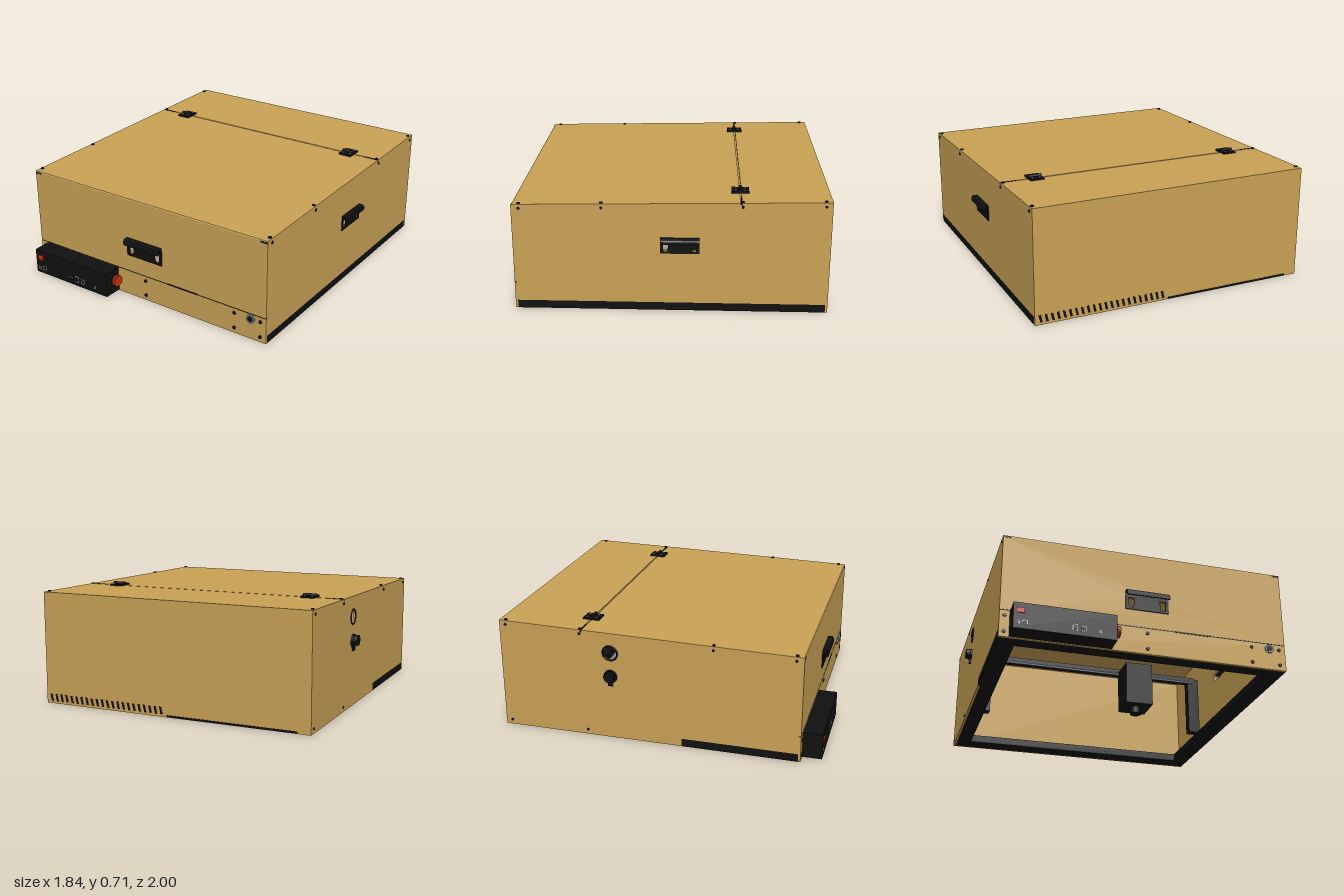
import * as THREE from 'three';

const mat = (name, color, extra = {}) => {
  const m = new THREE.MeshStandardMaterial({ color, ...extra });
  m.name = name;
  return m;
};

export function createModel() {
  const tan = mat('tanPanel', 0xc8a155);
  const black = mat('black', 0x101010);
  const red = mat('orangeRed', 0xd2360e);
  const darkRed = mat('darkRed', 0x8f2a12);
  const grey = mat('steelGrey', 0x8796a2);
  const pale = mat('paleGrey', 0xc4c4c4);

  const model = new THREE.Group();
  model.name = 'machineEnclosure';
  const T = 0.014, W = 0.88, ZF = 0.875, ZB = -1;
  const roof = z => 0.665 + (ZF - z) * 0.0187;

  const add = (name, geo, m, x = 0, y = 0, z = 0, parent = model) => {
    const mesh = new THREE.Mesh(geo, m);
    mesh.name = name;
    mesh.position.set(x, y, z);
    parent.add(mesh);
    return mesh;
  };
  // box given by its minimum and maximum corners
  const block = (name, m, a, b, parent = model) => add(name,
    new THREE.BoxGeometry(b[0] - a[0], b[1] - a[1], b[2] - a[2]), m,
    (a[0] + b[0]) / 2, (a[1] + b[1]) / 2, (a[2] + b[2]) / 2, parent);
  const disc = (name, m, r, depth, axis, x, y, z, parent = model) => {
    const g = new THREE.CylinderGeometry(r, r, depth, 20);
    if (axis === 'x') g.rotateZ(Math.PI / 2);
    if (axis === 'z') g.rotateX(Math.PI / 2);
    return add(name, g, m, x, y, z, parent);
  };
  const poly = pts => new THREE.Shape(pts.map(p => new THREE.Vector2(...p)));
  const hole = (shape, pts) => shape.holes.push(new THREE.Path(pts.map(p => new THREE.Vector2(...p))));
  const rect = (x0, y0, x1, y1) => [[x0, y0], [x1, y0], [x1, y1], [x0, y1]];
  const extrude = (shape, depth) => new THREE.ExtrudeGeometry(shape, { depth, bevelEnabled: false, curveSegments: 20 });
  // outline in (z, y), extruded towards -x
  const extrudeSide = (shape, depth) => extrude(shape, depth).rotateY(-Math.PI / 2);

  // Side walls
  const z0 = ZB + T, z1 = ZF - T;
  const leftWall = poly([[z0, 0.05], [z1, 0.05], [z1, roof(z1) - T], [z0, roof(z0) - T]]);
  hole(leftWall, rect(-0.215, 0.387, -0.015, 0.442));
  add('leftWall', extrudeSide(leftWall, T), tan, W);
  const rightWall = poly([[z0, 0], [0.15, 0], [0.15, 0.05], [z1, 0.05], [z1, roof(z1) - T], [z0, roof(z0) - T]]);
  rightWall.holes.push(new THREE.Path().absarc(-0.29, 0.56, 0.045, 0, Math.PI * 2));
  add('rightWall', extrudeSide(rightWall, T), tan, -W + T);

  // Back wall and the two front panels
  block('backWall', tan, [-W, 0, ZB], [W, roof(ZB) - T, ZB + T]);
  block('lowerFrontPanel', tan, [-W, 0, z1], [W, 0.165, ZF]);
  const front = poly(rect(-W, 0.171, W, roof(ZF) - T));
  hole(front, rect(-0.118, 0.293, 0.118, 0.357));
  add('upperFrontPanel', extrude(front, T), tan, 0, 0, z1);
  block('frontSeam', black, [-W + 0.005, 0.163, z1 + 0.002], [W - 0.005, 0.173, ZF - 0.002]);
  block('frontSlot', black, [0.17, 0.164, ZF - 0.004], [0.39, 0.173, ZF + 0.002]);

  // Sloped roof: fixed rear panel and lid with a rounded front edge
  const rear = poly([[ZB, roof(ZB) - T], [-0.476, roof(-0.476) - T], [-0.476, roof(-0.476)], [ZB, roof(ZB)]]);
  add('rearRoofPanel', extrudeSide(rear, W * 2), tan, W);
  const yl = roof(ZF);
  const lid = poly([[-0.467, roof(-0.467) - T], [ZF, yl - T], [ZF, yl - 0.008], [ZF - 0.004, yl - 0.002],
    [ZF - 0.012, yl], [-0.467, roof(-0.467)]]);
  add('lid', extrudeSide(lid, W * 2), tan, W);
  for (const s of [-1, 1]) {
    block('seamEnd', black, [s * 0.825 - 0.045, 0.66, -0.477], [s * 0.825 + 0.045, roof(-0.47) + 0.002, -0.466]);
    block('frontCornerSlot', black, [s * 0.855 - 0.022, 0.648, ZF - 0.004], [s * 0.855 + 0.022, 0.657, ZF + 0.002]);
  }

  // Hinges with knuckle and four screws
  for (const s of [-1, 1]) {
    const hinge = new THREE.Group();
    hinge.name = 'hinge';
    hinge.position.set(s * 0.664, roof(-0.47), -0.47);
    block('hingeLeaf', black, [-0.043, -0.002, -0.052], [0.043, 0.011, 0.052], hinge);
    disc('hingePin', black, 0.011, 0.084, 'x', 0, 0.013, 0, hinge);
    for (const x of [-0.024, 0.024]) for (const z of [-0.028, 0.028])
      disc('hingeScrew', grey, 0.007, 0.004, 'y', x, 0.012, z, hinge);
    model.add(hinge);
  }

  // Screws along the roof edges and wall sides
  for (const s of [-1, 1]) for (const z of [-0.96, -0.48, 0.345, 0.83]) {
    disc('roofScrew', black, 0.01, 0.008, 'y', s * 0.865, roof(z) + 0.002, z);
    disc('sideScrew', black, 0.008, 0.008, 'x', s * (W + 0.001), roof(z) - 0.025, z);
  }
  for (const x of [-0.85, 0, 0.66, 0.84]) for (const y of [0.035, 0.135])
    disc('frontScrew', black, 0.011, 0.008, 'z', x, y, ZF + 0.001);
  for (const z of [-0.96, -0.45]) disc('lowerSideScrew', black, 0.008, 0.008, 'x', -W, 0.03, z);

  // Lock
  disc('lockRing', grey, 0.028, 0.012, 'z', 0.775, 0.135, ZF + 0.002);
  disc('lockCore', black, 0.018, 0.008, 'z', 0.775, 0.135, ZF + 0.007);

  // Hooked grip handles
  const makeHandle = name => {
    const g = new THREE.Group();
    g.name = name;
    const plate = poly(rect(-0.134, -0.06, 0.134, 0.06));
    hole(plate, [[-0.112, -0.045], [-0.086, -0.045], [-0.078, 0.015], [-0.118, 0.015]]);
    hole(plate, [[0.112, -0.045], [0.118, 0.015], [0.078, 0.015], [0.086, -0.045]]);
    add('handlePlate', extrude(plate, 0.006), black, 0, 0, 0, g);
    const hook = poly([[0, 0.044], [0.024, 0.044], [0.029, 0.036], [0.031, 0.022], [0.039, 0.022],
      [0.039, 0.044], [0.034, 0.055], [0.025, 0.06], [0, 0.06]]);
    add('handleHook', extrudeSide(hook, 0.268), black, 0.134, 0, 0, g);
    model.add(g);
    return g;
  };
  makeHandle('frontHandle').position.set(0, 0.34, ZF);
  const sideHandle = makeHandle('sideHandle');
  sideHandle.position.set(W, 0.42, -0.115);
  sideHandle.rotation.y = Math.PI / 2;
  sideHandle.scale.set(0.86, 0.83, 1);

  // Exhaust port ring and cable gland on the right wall
  add('portRing', new THREE.TorusGeometry(0.046, 0.005, 8, 28).rotateY(Math.PI / 2), black, -W, 0.56, -0.29);
  disc('glandBase', black, 0.042, 0.014, 'x', -W - 0.006, 0.41, -0.29);
  disc('glandBody', black, 0.033, 0.035, 'x', -W - 0.02, 0.415, -0.29);
  block('glandTab', black, [-W - 0.012, 0.35, -0.305], [-W, 0.4, -0.275]);

  // Control box with switch, ports and emergency stop
  block('controlBox', black, [-0.82, 0.004, ZF], [-0.22, 0.165, 0.994]);
  block('powerSwitch', red, [-0.798, 0.1, 0.99], [-0.757, 0.132, 1]);
  const port = (x, y, w, h) => {
    block('portFrame', pale, [x - w / 2, y - h / 2, 0.992], [x + w / 2, y + h / 2, 0.996]);
    block('portOpening', black, [x - w / 2 + 0.004, y - h / 2 + 0.004, 0.993], [x + w / 2 - 0.004, y + h / 2 - 0.004, 0.9975]);
  };
  port(-0.79, 0.04, 0.016, 0.018);
  port(-0.752, 0.045, 0.03, 0.026);
  port(-0.467, 0.052, 0.03, 0.042);
  port(-0.418, 0.048, 0.032, 0.032);
  port(-0.318, 0.043, 0.014, 0.018);
  for (let i = 0; i < 4; i++) block('indicator', pale, [-0.542 + i * 0.01, 0.05, 0.992], [-0.537 + i * 0.01, 0.054, 0.996]);
  disc('stopCollar', black, 0.026, 0.014, 'x', -0.214, 0.095, 0.92);
  disc('stopButton', darkRed, 0.037, 0.02, 'x', -0.197, 0.095, 0.92);
  disc('stopFace', red, 0.035, 0.004, 'x', -0.186, 0.095, 0.92);

  // Base frame rails and front corner posts
  block('leftRail', black, [0.78, 0, z0], [W, 0.05, z1]);
  block('rightRailFront', black, [-W, 0, 0.15], [-0.77, 0.05, z1]);
  block('rightRailRear', black, [-W + T, 0, z0], [-0.77, 0.05, 0.15]);
  block('backRail', black, [-0.77, 0, z0], [0.78, 0.05, -0.87]);
  block('frontRail', black, [-0.77, 0, 0.77], [0.78, 0.05, z1]);
  for (const s of [-1, 1])
    block('cornerPost', black, [s * 0.84 - 0.025, 0.05, 0.81], [s * 0.84 + 0.025, 0.645, 0.86]);

  // Slanted vents along the bottom of the back, small vents on the front
  for (let i = 0; i < 22; i++) {
    const slot = poly([[-0.007, 0.015], [0.007, 0.015], [0.017, 0.06], [0.003, 0.06]]);
    add('backVent', extrude(slot, 0.004), black, 0.84 - i * 0.037, 0, ZB - 0.002);
  }
  block('backEdgeStrip', black, [-0.8, 0.002, ZB - 0.002], [0.03, 0.014, ZB + 0.002]);

  // Gantry inside: beam, rod, end carriages and tool head
  block('gantryBeam', black, [-0.76, 0.43, -0.42], [0.76, 0.47, -0.37]);
  add('gantryRod', new THREE.CylinderGeometry(0.008, 0.008, 1.5, 10).rotateZ(Math.PI / 2), grey, 0, 0.425, -0.36);
  for (const s of [-1, 1]) block('gantryCarriage', black, [s * 0.76 - 0.04, 0.05, -0.43], [s * 0.76 + 0.04, 0.46, -0.37]);
  block('toolHead', black, [0.19, 0.14, -0.37], [0.38, 0.44, -0.17]);
  disc('toolNozzle', black, 0.04, 0.05, 'y', 0.285, 0.12, -0.27);

  return model;
}
